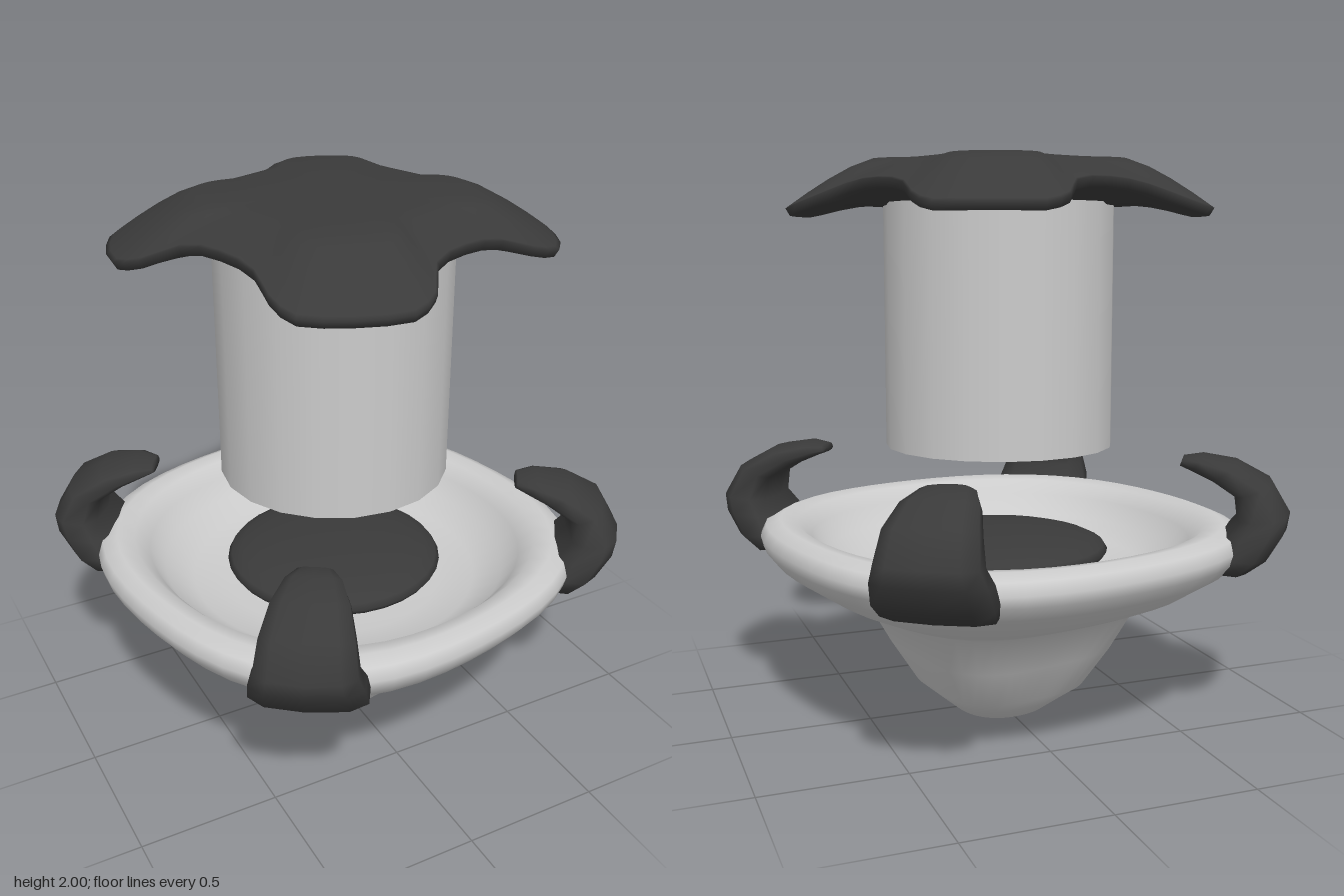
import * as THREE from 'three';

const grey = new THREE.MeshStandardMaterial({ color: 0xcccccc });
const dark = new THREE.MeshStandardMaterial({ color: 0x3a3a3a });
const CLAW_ANGLE = THREE.MathUtils.degToRad(33);

// Closed skin through equal-length rings; both ends are closed with a fan.
function loft(rings) {
  const n = rings[0].length, pos = [], index = [];
  rings.forEach(r => r.forEach(p => pos.push(p.x, p.y, p.z)));
  for (let i = 0; i < rings.length - 1; i++) {
    for (let j = 0; j < n; j++) {
      const a = i * n + j, b = i * n + (j + 1) % n;
      index.push(a, a + n, b, b, a + n, b + n);
    }
  }
  [0, rings.length - 1].forEach((r, end) => {
    const c = new THREE.Vector3();
    rings[r].forEach(p => c.addScaledVector(p, 1 / n));
    const k = pos.length / 3;
    pos.push(c.x, c.y, c.z);
    for (let j = 0; j < n; j++) {
      const a = r * n + j, b = r * n + (j + 1) % n;
      if (end) index.push(k, b, a); else index.push(k, a, b);
    }
  });
  const g = new THREE.BufferGeometry();
  g.setAttribute('position', new THREE.Float32BufferAttribute(pos, 3));
  g.setIndex(index);
  g.computeVertexNormals();
  return g;
}

function part(name, geometry, material) {
  const m = new THREE.Mesh(geometry, material);
  m.name = name;
  return m;
}

// Bowl: revolved profile (radius, height, lobe strength) swelling towards the claws
function bowlGeometry() {
  const profile = [
    [0.1, 0, 0], [0.17, 0, 0.02], [0.235, 0.05, 0.04], [0.3, 0.1, 0.06], [0.395, 0.25, 0.07],
    [0.48, 0.4, 0.06], [0.57, 0.435, 0.045], [0.68, 0.485, 0.035], [0.81, 0.57, 0.035],
    [0.85, 0.62, 0.035], [0.86, 0.66, 0.035], [0.84, 0.7, 0.035], [0.79, 0.72, 0.03],
    [0.73, 0.71, 0.025], [0.68, 0.66, 0.02], [0.63, 0.59, 0.01], [0.53, 0.54, 0],
    [0.4, 0.52, 0], [0.2, 0.51, 0],
  ];
  const n = 48;
  return loft(profile.map(([r, y, lobe]) => Array.from({ length: n }, (_, j) => {
    const a = j / n * Math.PI * 2;
    const s = r * (1 + lobe * Math.cos(4 * (a - CLAW_ANGLE)));
    return new THREE.Vector3(Math.cos(a) * s, y, Math.sin(a) * s);
  })));
}

// Claw: [outer radius, outer y, inner radius, inner y, half width], base to tip
function clawGeometry() {
  const sections = [
    [0.91, 0.58, 0.77, 0.59, 0.19], [0.98, 0.63, 0.79, 0.64, 0.2], [1.035, 0.72, 0.81, 0.7, 0.19],
    [1.045, 0.78, 0.86, 0.76, 0.17], [0.98, 0.89, 0.85, 0.84, 0.155],
    [0.86, 0.955, 0.77, 0.89, 0.13], [0.74, 0.975, 0.7, 0.92, 0.095], [0.67, 0.965, 0.66, 0.935, 0.06],
  ];
  const n = 10, soft = v => Math.sign(v) * Math.pow(Math.abs(v), 0.75);
  return loft(sections.map(([ro, yo, ri, yi, w]) => Array.from({ length: n }, (_, j) => {
    const a = j / n * Math.PI * 2, c = soft(Math.cos(a)) / 2;
    return new THREE.Vector3((ro + ri) / 2 + (ro - ri) * c, (yo + yi) / 2 + (yo - yi) * c, w * soft(Math.sin(a)));
  })));
}

// Cap: a quarter of the lobed outline turned four times, drooping towards its edge
function capGeometry() {
  const quarter = [[0.12, -0.73], [0.3, -0.69], [0.44, -0.6], [0.47, -0.48], [0.46, -0.36],
    [0.5, -0.2], [0.57, -0.05], [0.68, 0.02]];
  const points = [];
  for (let k = 0; k < 4; k++) {
    quarter.forEach(([x, z]) => points.push(
      new THREE.Vector3(x, 0, z).applyAxisAngle(new THREE.Vector3(0, 1, 0), -k * Math.PI / 2)));
  }
  const outline = new THREE.CatmullRomCurve3(points, true).getPoints(64).slice(0, 64);
  const ring = (t, under) => outline.map(p => {
    const lobe = THREE.MathUtils.clamp((p.length() - 0.54) / 0.2, 0, 1);
    const f = Math.max(0, (t - 0.6) / 0.4);
    const drop = THREE.MathUtils.lerp(0.08, 0.17, lobe) * Math.pow(f, 1.3);
    const thick = under ? THREE.MathUtils.lerp(0.16, 0.03, f) : 0;
    return new THREE.Vector3(p.x * t, 2 - drop - thick, p.z * t);
  });
  const steps = [0.3, 0.6, 0.7, 0.8, 0.9, 0.98];
  return loft([...steps.map(t => ring(t, true)), ring(1, false), ...steps.reverse().map(t => ring(t, false))]);
}

export function createModel() {
  const model = new THREE.Group();
  model.name = 'clawedBowlWithColumn';
  model.add(part('bowl', bowlGeometry(), grey));

  // Dark cushion lying in the bowl
  const cushion = part('cushion', new THREE.SphereGeometry(1, 32, 12), dark);
  cushion.scale.set(0.4, 0.08, 0.4);
  cushion.position.y = 0.6;
  model.add(cushion);

  // Four claws gripping the rim
  const claw = clawGeometry();
  for (let k = 0; k < 4; k++) {
    const m = part('claw', claw, dark);
    m.rotation.y = -CLAW_ANGLE - k * Math.PI / 2;
    model.add(m);
  }

  // Floating column and its drooping cap
  const column = part('column', new THREE.CylinderGeometry(0.41, 0.41, 0.86, 20), grey);
  column.position.y = 1.42;
  model.add(column, part('cap', capGeometry(), dark));
  return model;
}
